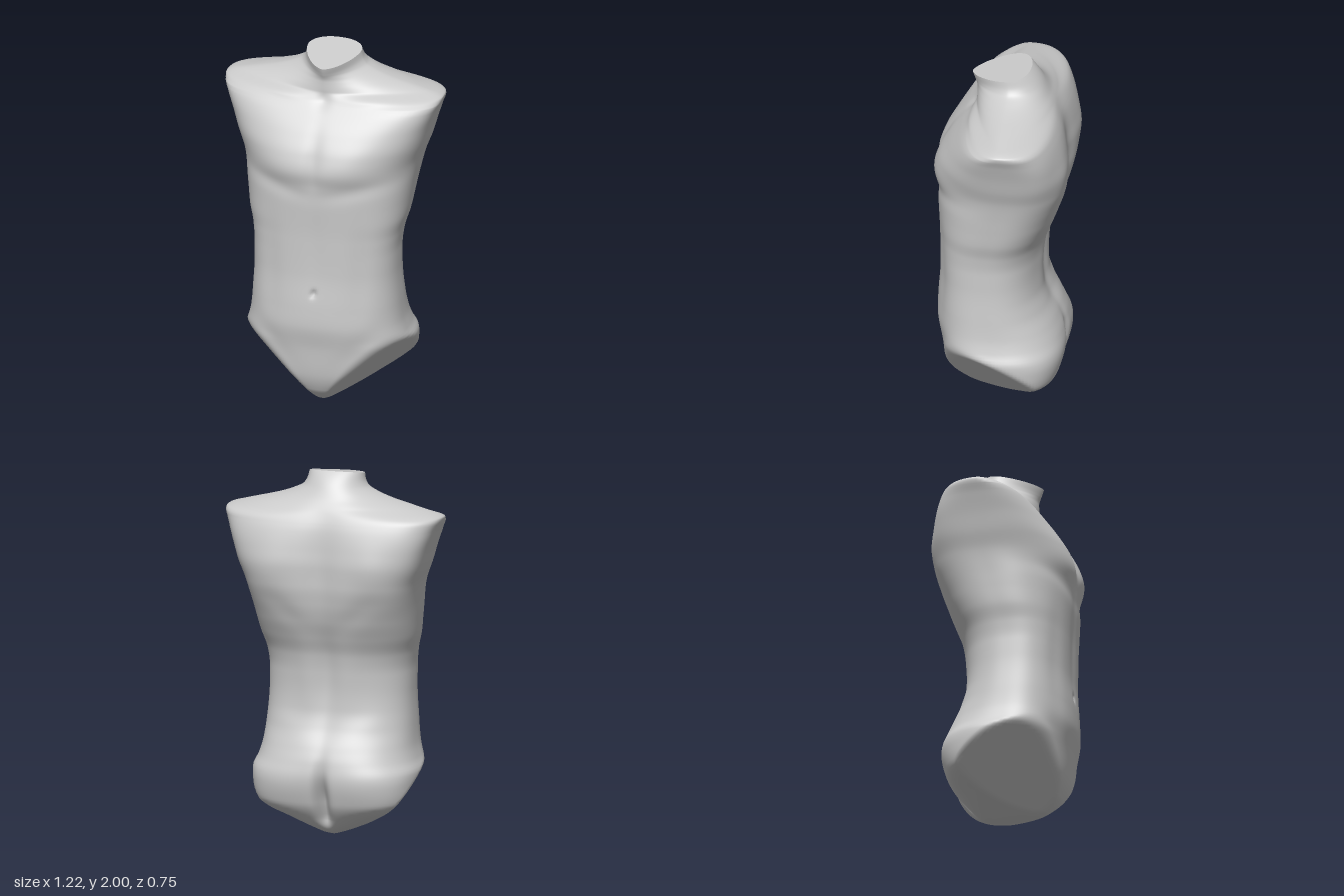
import * as THREE from 'three';

// Smooth interpolation through [height, value] keys, without overshoot
function profile(...keys) {
  const slope = i => (keys[i + 1][1] - keys[i][1]) / (keys[i + 1][0] - keys[i][0]);
  const last = keys.length - 1;
  const tangent = i => {
    if (i === 0) return slope(0);
    if (i === last) return slope(last - 1);
    const a = slope(i - 1), b = slope(i);
    return a * b <= 0 ? 0 : (2 * a * b) / (a + b);
  };
  return y => {
    let i = 0;
    while (i < last - 1 && y > keys[i + 1][0]) i++;
    const h = keys[i + 1][0] - keys[i][0];
    const t = THREE.MathUtils.clamp((y - keys[i][0]) / h, 0, 1);
    const t2 = t * t, t3 = t2 * t;
    return keys[i][1] * (2 * t3 - 3 * t2 + 1) + keys[i + 1][1] * (3 * t2 - 2 * t3)
      + h * (tangent(i) * (t3 - 2 * t2 + t) + tangent(i + 1) * (t3 - t2));
  };
}

// Cross-section profiles over height
const halfWidth = profile([0, 0.03], [0.02, 0.09], [0.05, 0.165], [0.1, 0.275], [0.15, 0.38], [0.2, 0.44], [0.28, 0.458],
  [0.36, 0.465], [0.42, 0.442], [0.5, 0.422], [0.6, 0.412], [0.8, 0.4], [0.9, 0.4], [1, 0.41], [1.1, 0.435],
  [1.2, 0.45], [1.3, 0.465], [1.4, 0.485], [1.5, 0.52], [1.6, 0.55], [1.7, 0.585], [1.77, 0.61],
  [1.785, 0.585], [1.8, 0.53], [1.82, 0.45], [1.85, 0.33], [1.88, 0.24], [1.91, 0.18], [1.94, 0.16], [1.98, 0.15]);
const frontZ = profile([0, 0.15], [0.02, 0.2], [0.1, 0.28], [0.2, 0.315], [0.36, 0.335], [0.5, 0.355],
  [0.6, 0.35], [0.8, 0.34], [1, 0.342], [1.2, 0.352], [1.32, 0.36], [1.4, 0.372], [1.5, 0.348], [1.6, 0.295],
  [1.7, 0.22], [1.76, 0.17], [1.8, 0.155], [1.86, 0.152], [1.92, 0.165], [1.98, 0.18]);
const backZ = profile([0, -0.1], [0.02, -0.17], [0.1, -0.255], [0.2, -0.315], [0.34, -0.342], [0.42, -0.33],
  [0.5, -0.3], [0.6, -0.25], [0.7, -0.225], [0.8, -0.22], [0.9, -0.225], [1, -0.24], [1.1, -0.278],
  [1.2, -0.32], [1.3, -0.35], [1.4, -0.366], [1.5, -0.368], [1.6, -0.356], [1.7, -0.335], [1.8, -0.29],
  [1.9, -0.215], [1.98, -0.14]);
const midZ = profile([0, 0.02], [0.3, 0.05], [0.5, 0.06], [0.9, 0.06], [1.2, 0], [1.5, -0.045], [1.98, -0.04]);
const frontPower = profile([0, 2], [0.4, 2.3], [0.9, 2.6], [1.25, 2.4], [1.4, 2.15], [1.6, 2.5], [1.73, 2.9],
  [1.76, 2.3], [1.8, 1.35], [1.86, 1.35], [1.98, 1.55]);
const backPower = profile([0, 2], [0.1, 2.8], [0.18, 3.4], [0.3, 3.2], [0.45, 2.6], [0.9, 2.3], [1.2, 2.6], [1.4, 3.2],
  [1.6, 3.7], [1.75, 3.1], [1.82, 1.9], [1.98, 2.2]);

// Mirrored relief: [x, y, spread along, spread across, angle, height]
const frontRelief = [
  [0, 0.69, 0.016, 0.018, 0, -0.018],     // navel
  [0, 1.45, 0.045, 0.16, 0, -0.012],      // breastbone
  [0, 1.0, 0.05, 0.25, 0, -0.004],        // midline of the belly
  [0.2, 1.45, 0.15, 0.1, 0.2, 0.012],     // chest muscle
  [0.2, 1.3, 0.17, 0.045, 0.2, -0.008],   // crease under the chest
  [0, 0.6, 0.16, 0.14, 0, 0.006],         // lower belly
  [0.25, 0.8, 0.06, 0.3, 0, -0.008],      // edge of the belly muscles
  [0.25, 0.39, 0.18, 0.06, 0.85, -0.006], // groin line
  [0.24, 1.77, 0.15, 0.025, 0.12, 0.008], // collar bone
  [0, 1.755, 0.04, 0.04, 0, -0.01],       // throat notch
];
const backRelief = [
  [0, 1.45, 0.1, 0.3, 0, -0.03],          // spine between the shoulder blades
  [0, 0.9, 0.06, 0.3, 0, -0.018],         // lower spine
  [0.29, 1.5, 0.11, 0.16, 0.3, 0.014],    // shoulder blade
  [0.2, 1.25, 0.14, 0.06, 0.7, -0.006],   // lower edge of the blade
  [0.12, 0.9, 0.06, 0.22, 0, 0.006],      // muscles beside the spine
  [0, 0.2, 0.036, 0.16, 0, -0.075],       // cleft
  [0.2, 0.28, 0.12, 0.13, 0, 0.006],      // buttock
  [0.2, 0.6, 0.14, 0.07, 0.4, 0.006],     // top of the pelvis
];
function relief(list, x, y) {
  let sum = 0;
  for (const [cx, cy, sx, sy, angle, height] of list) {
    const dx = Math.abs(x) - cx, dy = y - cy, c = Math.cos(angle), s = Math.sin(angle);
    sum += height * Math.exp(-(((dx * c + dy * s) / sx) ** 2) - ((dy * c - dx * s) / sy) ** 2);
  }
  return sum;
}

const smooth = THREE.MathUtils.smoothstep;

// Surface point at one height and angle around the body
function bodyPoint(y, angle) {
  const c = Math.cos(angle), s = Math.sin(angle);
  const zc = midZ(y), front = s >= 0;
  const depth = front ? frontZ(y) - zc : zc - backZ(y);
  const n = front ? frontPower(y) : backPower(y);
  let r = ((Math.abs(c) / halfWidth(y)) ** n + (Math.abs(s) / depth) ** n) ** (-1 / n);

  // Flat slanted cut where each leg would begin, with an edge softer in front
  const facing = Math.abs(c) + 0.467 * s;
  if (facing > 0.001 && y < 0.7) {
    const cut = (0.1 + 1.02 * y - 0.467 * zc) / facing;
    const k = 0.02 + 0.04 * smooth(s, 0, 0.6) * smooth(y, 0.05, 0.3);
    const h = Math.max(k - Math.abs(r - cut), 0) / k;
    r = Math.min(r, cut) - h * h * k * 0.25;
  }

  const x = r * c;
  let z = zc + r * s;
  const fade = smooth(Math.abs(s), 0, 0.35) * smooth(y, 0, 0.12) * (1 - smooth(y, 1.84, 1.93));
  z += fade * (front ? relief(frontRelief, x, y) : -relief(backRelief, x, y));

  // The neck is cut off at a slant
  return [x, y - 0.172 * z * smooth(y, 1.85, 1.976), z];
}

export function createModel() {
  const group = new THREE.Group();
  group.name = 'torso';
  const material = new THREE.MeshStandardMaterial({ color: 0xcccccc });
  const around = 160;

  // Heights, closer together under the crotch and over the shoulders
  const heights = [];
  for (const [from, to, steps] of [[0, 0.1, 20], [0.1, 1.74, 110], [1.74, 1.976, 50]])
    for (let i = 0; i < steps; i++) heights.push(from + ((to - from) * i) / steps);
  heights.push(1.976);

  const ring = y => Array.from({ length: around }, (_, i) => bodyPoint(y, (i / around) * Math.PI * 2));
  const build = (name, points, index) => {
    const geometry = new THREE.BufferGeometry();
    geometry.setAttribute('position', new THREE.Float32BufferAttribute(points.flat(), 3));
    geometry.setIndex(index);
    geometry.computeVertexNormals();
    const mesh = new THREE.Mesh(geometry, material);
    mesh.name = name;
    group.add(mesh);
  };

  // Body skin, closed underneath
  const points = heights.flatMap(ring), index = [];
  for (let j = 0; j < heights.length - 1; j++) {
    for (let i = 0; i < around; i++) {
      const a = j * around + i, b = j * around + ((i + 1) % around);
      index.push(a, a + around, b, b, a + around, b + around);
    }
  }
  const bottom = points.length;
  points.push([0, 0, 0.02]);
  for (let i = 0; i < around; i++) index.push(bottom, i, (i + 1) % around);
  build('body', points, index);

  // Flat face on the neck
  const rim = ring(1.976), cap = [];
  rim.push([0, 1.976, 0]);
  for (let i = 0; i < around; i++) cap.push(around, (i + 1) % around, i);
  build('neckCut', rim, cap);

  return group;
}
